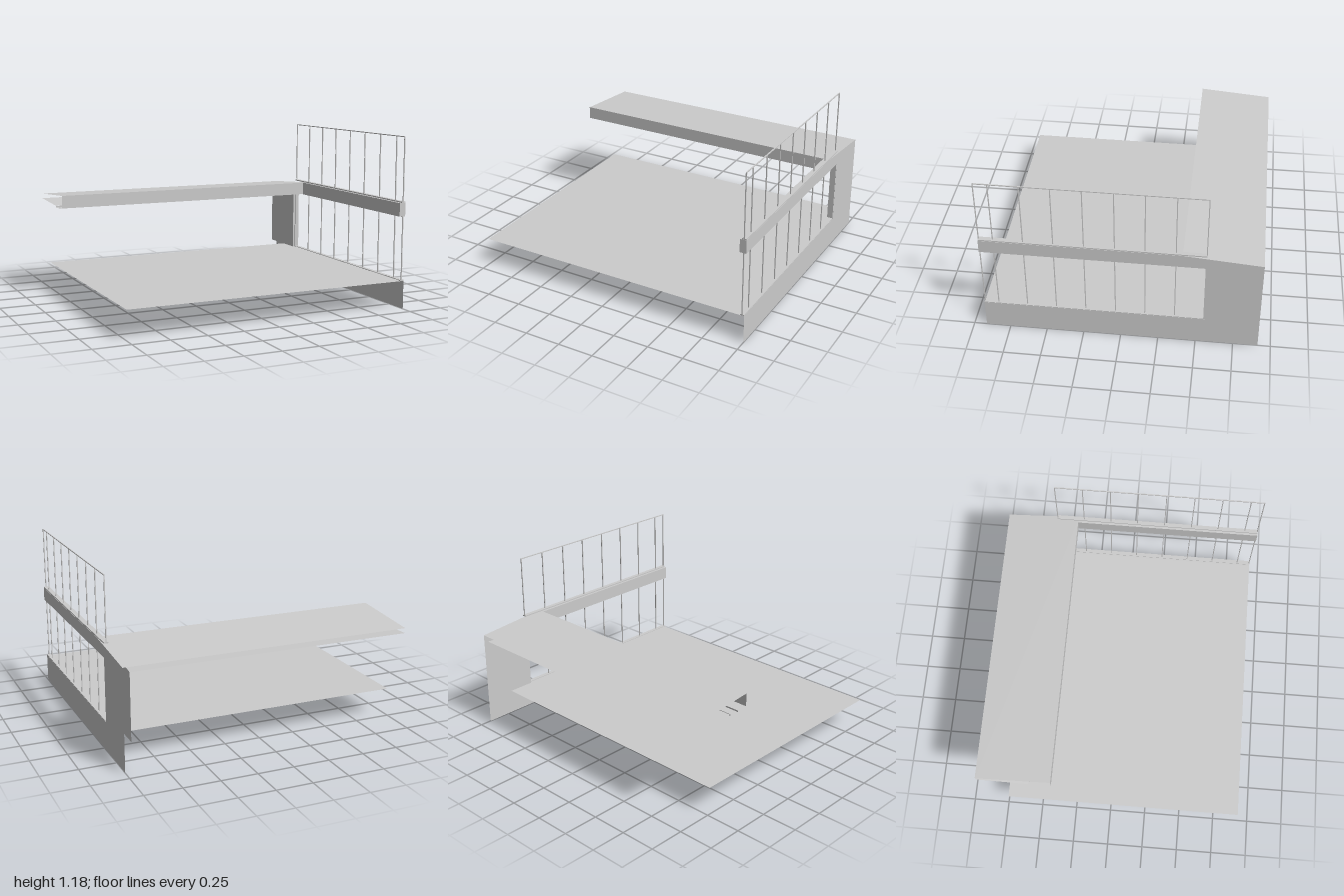
import * as THREE from 'three';

export function createModel() {
  const model = new THREE.Group();
  const grey = new THREE.MeshStandardMaterial({ color: 0xcccccc, side: THREE.DoubleSide });
  grey.name = 'light grey';

  const add = (name, geometry, parent = model) => {
    const mesh = new THREE.Mesh(geometry, grey);
    mesh.name = name;
    parent.add(mesh);
    return mesh;
  };

  // Upright sheet at a given x, outlined by [z, y] points
  const sideSheet = (name, x, points) => {
    const shape = new THREE.Shape(points.map(([z, y]) => new THREE.Vector2(-z, y)));
    const geometry = new THREE.ShapeGeometry(shape);
    geometry.rotateY(Math.PI / 2);
    geometry.translate(x, 0, 0);
    return add(name, geometry);
  };

  // Folded sheet: a [z, y] section swept from x0 to x1, one flat face per fold
  const sweep = (name, x0, x1, section) => {
    const v = [];
    for (let i = 0; i < section.length - 1; i++) {
      const [za, ya] = section[i], [zb, yb] = section[i + 1];
      v.push(x0, ya, za, x1, ya, za, x1, yb, zb, x0, ya, za, x1, yb, zb, x0, yb, zb);
    }
    const geometry = new THREE.BufferGeometry();
    geometry.setAttribute('position', new THREE.Float32BufferAttribute(v, 3));
    geometry.computeVertexNormals();
    return add(name, geometry);
  };

  // Box given by its limits
  const bar = (name, x0, x1, y0, y1, z0, z1, parent) => {
    const geometry = new THREE.BoxGeometry(x1 - x0, y1 - y0, z1 - z0);
    geometry.translate((x0 + x1) / 2, (y0 + y1) / 2, (z0 + z1) / 2);
    return add(name, geometry, parent);
  };

  const front = 0.915, back = -0.915, jamb = -0.555, inner = 0.955;

  // Floor slab
  sweep('floor', -1, 0.998, [[front, 0.195], [-0.735, 0.195]]);

  // Outer wall with a window opening that runs to the front edge
  sideSheet('outerWall', 1, [
    [front, 0], [back, 0], [back, 0.69], [-0.4, 0.732], [front, 0.732],
    [front, 0.64], [jamb, 0.64], [jamb, 0.2], [front, 0.2],
  ]);

  // Inner wall lining and inner face of the beam
  sideSheet('innerWall', inner, [
    [back, 0.2], [back, 0.655], [-0.4, 0.732], [front, 0.732],
    [front, 0.64], [jamb, 0.64], [jamb, 0.2],
  ]);

  // Faces joining the two wall sheets: beam and window reveal
  sweep('beamTopAndEnd', inner, 1, [[-0.4, 0.732], [front, 0.732], [front, 0.64]]);
  sweep('windowReveal', inner, 1, [[front, 0.64], [jamb, 0.64], [jamb, 0.2], [front, 0.2]]);

  // Sloping roof with fascia and front lip
  sweep('roofTop', -1, 1, [[back, 0.69], [-0.4, 0.732]]);
  sweep('fascia', -1, inner, [[-0.4, 0.732], [-0.4, 0.642], [-0.48, 0.642]]);

  // Soffit and its lowered strip
  sweep('soffit', -1, inner, [[back, 0.655], [jamb, 0.642]]);
  sweep('soffitStrip', -1, inner, [
    [-0.48, 0.642], [-0.48, 0.632], [-0.55, 0.632], [-0.55, 0.642],
  ]);

  // Post positions along z, shared by the window and the railing above
  const posts = [front - 0.003, 0.82, 0.625, 0.43, 0.233, 0.035, -0.16, -0.357, jamb + 0.003];
  const frame = (name, y0, y1) => {
    const group = new THREE.Group();
    group.name = name;
    model.add(group);
    bar('bottomRail', 0.97, 0.999, y0, y0 + 0.008, jamb, front, group);
    bar('topRail', 0.98, 0.987, y1 - 0.006, y1, jamb, front, group);
    for (const z of posts) bar('post', 0.98, 0.987, y0, y1, z - 0.003, z + 0.003, group);
  };
  frame('window', 0.196, 0.641);
  frame('railing', 0.733, 1.18);
  bar('windowJambFrame', 0.97, 0.999, 0.2, 0.64, jamb, jamb + 0.008);

  return model;
}
